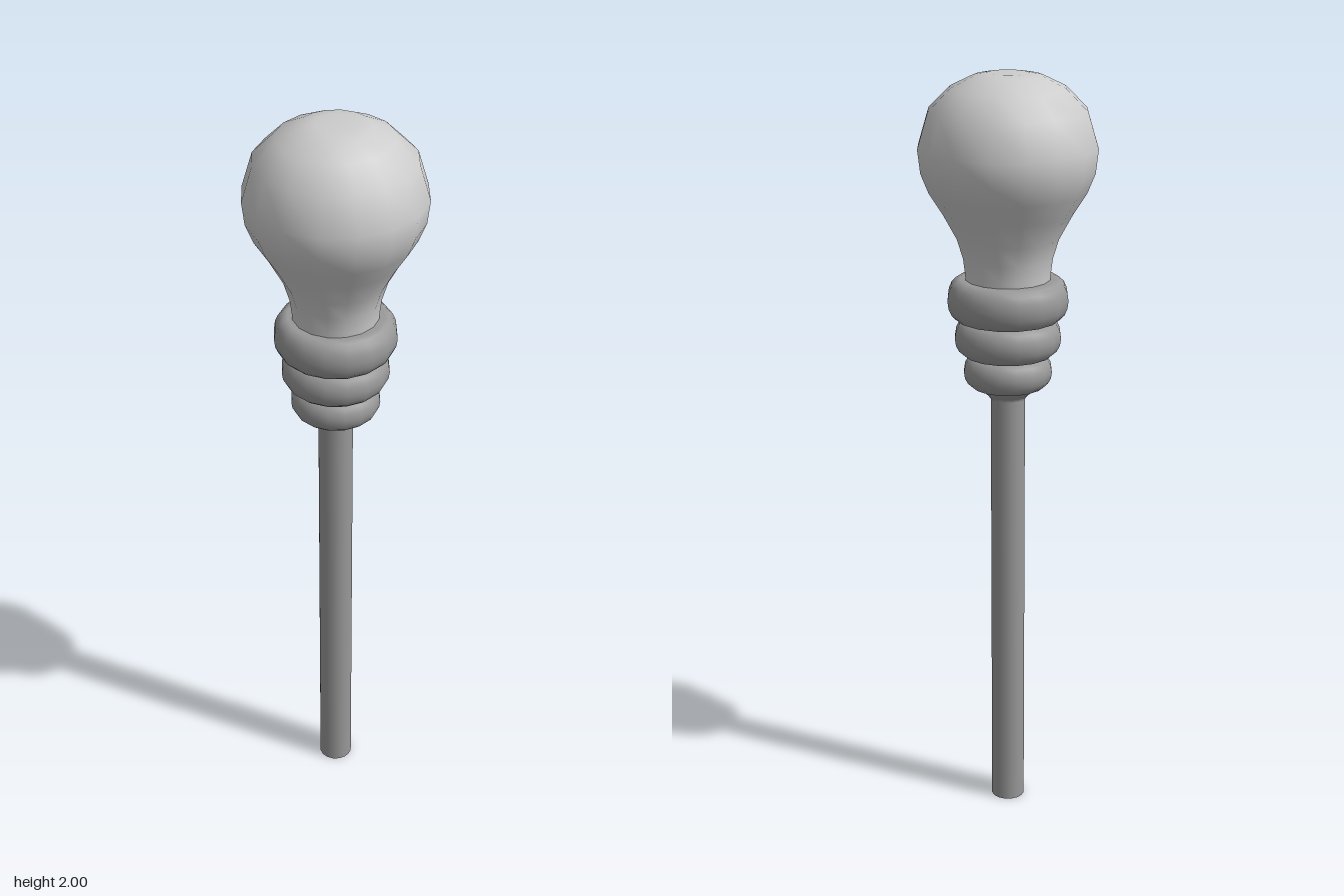
import * as THREE from 'three';

const SIDES = 16;

// Turned part from [radius, height] pairs, bottom to top; a repeated pair makes a sharp edge
function turned(name, profile, material) {
  const points = profile.map(([r, y]) => new THREE.Vector2(r, y));
  const mesh = new THREE.Mesh(new THREE.LatheGeometry(points, SIDES), material);
  mesh.name = name;
  return mesh;
}

// Rounded collar profile running between two heights
function collarProfile(radius, bottom, top, bevel) {
  const profile = [[0, bottom], [radius - bevel, bottom]];
  const steps = 4;
  const half = (top - bottom) / 2;
  for (let i = 1; i < steps * 2; i++) {
    const a = -Math.PI / 2 + (i / (steps * 2)) * Math.PI;
    profile.push([radius - bevel + bevel * Math.cos(a), bottom + half + half * Math.sin(a)]);
  }
  profile.push([radius - bevel, top], [0, top]);
  return profile;
}

export function createModel() {
  const group = new THREE.Group();
  group.name = 'knobbedRod';

  const knobGrey = new THREE.MeshStandardMaterial({ color: 0xcccccc });
  knobGrey.name = 'light grey';
  const rodGrey = new THREE.MeshStandardMaterial({ color: 0x999999 });
  rodGrey.name = 'mid grey';

  // Slim shaft flaring out beneath the collars
  group.add(turned('shaft', [
    [0, 0], [0.045, 0], [0.045, 0],
    [0.045, 1.165], [0.052, 1.175], [0.07, 1.19], [0.08, 1.205],
  ], rodGrey));

  // Three stacked collars, widening upward: radius, bottom, top, bevel
  [
    [0.115, 1.197, 1.283, 0.035],
    [0.138, 1.283, 1.38, 0.038],
    [0.156, 1.378, 1.485, 0.035],
  ].forEach((c, i) => group.add(turned(`collar${i + 1}`, collarProfile(...c), rodGrey)));

  // Pear-shaped knob with a flattened crown
  group.add(turned('knob', [
    [0.108, 1.46], [0.11, 1.5], [0.115, 1.54], [0.13, 1.59], [0.165, 1.655],
    [0.2, 1.71], [0.22, 1.76], [0.227, 1.82], [0.2, 1.91],
    [0.145, 1.965], [0.088, 1.993], [0.05, 2], [0, 2],
  ], knobGrey));

  return group;
}
